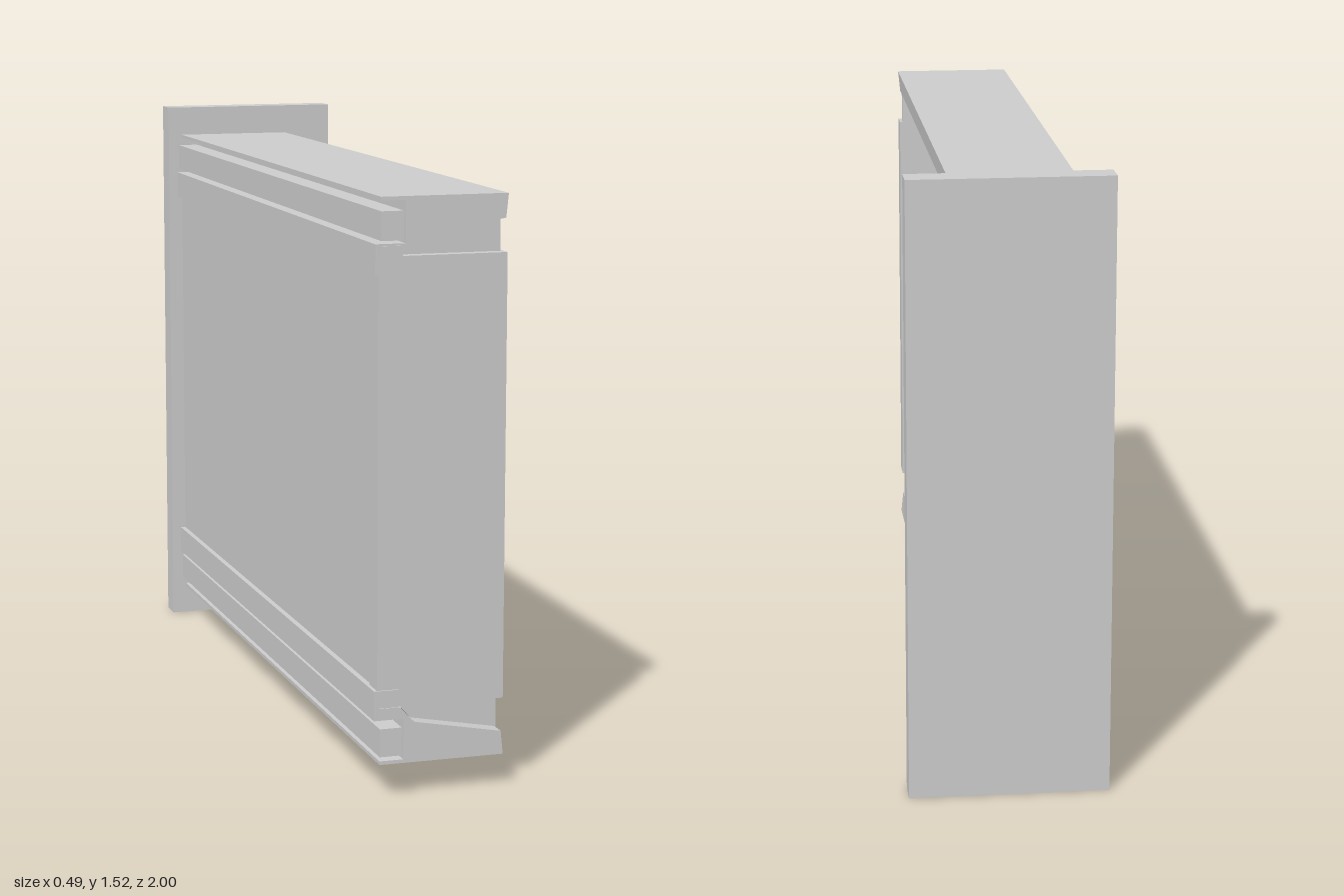
import * as THREE from 'three';

const H = 1.525; // full height, also the mirror span between the two side walls

export function createModel() {
  const model = new THREE.Group();
  model.name = 'drawer';
  const mat = new THREE.MeshStandardMaterial({ color: 0xcccccc, flatShading: true });

  const add = (name, geo) => {
    const mesh = new THREE.Mesh(geo, mat);
    mesh.name = name;
    model.add(mesh);
    return mesh;
  };
  // Box given by its limits on each axis
  const box = (name, [x0, x1], [y0, y1], [z0, z1]) => {
    const mesh = add(name, new THREE.BoxGeometry(x1 - x0, y1 - y0, z1 - z0));
    mesh.position.set((x0 + x1) / 2, (y0 + y1) / 2, (z0 + z1) / 2);
  };
  // Cross-section in x, y extruded from z0 to z1
  const profile = (name, points, z0, z1) => {
    const shape = new THREE.Shape(points.map(([x, y]) => new THREE.Vector2(x, y)));
    const geo = new THREE.ExtrudeGeometry(shape, { depth: z1 - z0, bevelEnabled: false });
    add(name, geo.translate(0, 0, z0));
  };

  // Facing panel, bottom board and end board
  box('facingPanel', [-0.217, 0.273], [0, H], [-0.993, -0.925]);
  box('bottomBoard', [-0.178, -0.13], [0.24, H - 0.24], [-0.925, 0.93]);
  box('endBoard', [-0.183, 0.137], [0.22, H - 0.22], [0.9, 0.958]);

  // Side wall section: sloped inside face, runner channel open below
  const wall = [
    [-0.178, 1.445], [0.137, 1.445], [0.131, 1.387], [-0.09, 1.345], [-0.13, 1.305],
    [-0.13, 1.262], [-0.192, 1.262], [-0.192, 1.335], [-0.118, 1.335], [-0.118, 1.436], [-0.178, 1.436],
  ];
  // Bracket filling the gap between end board and side wall
  const bracket = [[-0.128, 1.3], [-0.09, 1.343], [0.129, 1.384], [0.129, 1.3]];

  for (const [side, mirrored] of [['upper', false], ['lower', true]]) {
    const flip = (pts) => (mirrored ? pts.map(([x, y]) => [x, H - y]) : pts);
    const span = (a, b) => (mirrored ? [H - b, H - a] : [a, b]);
    profile(side + 'SideWall', flip(wall), -0.925, 0.962);
    profile(side + 'Bracket', flip(bracket), 0.9, 0.93);
    box(side + 'Runner', [-0.188, -0.133], span(1.346, 1.415), [-0.922, 0.995]);
    box(side + 'Clip', [-0.183, -0.125], span(1.305, 1.33), [0.9, 0.965]);
  }

  // Screw heads inside the facing panel
  for (const y of [0.46, H - 0.46]) {
    const screw = add('screw', new THREE.CylinderGeometry(0.01, 0.01, 0.012, 12));
    screw.rotation.x = Math.PI / 2;
    screw.position.set(0.093, y, -0.92);
  }

  model.rotation.y = 0.029; // the whole drawer stands slightly turned
  return model;
}
